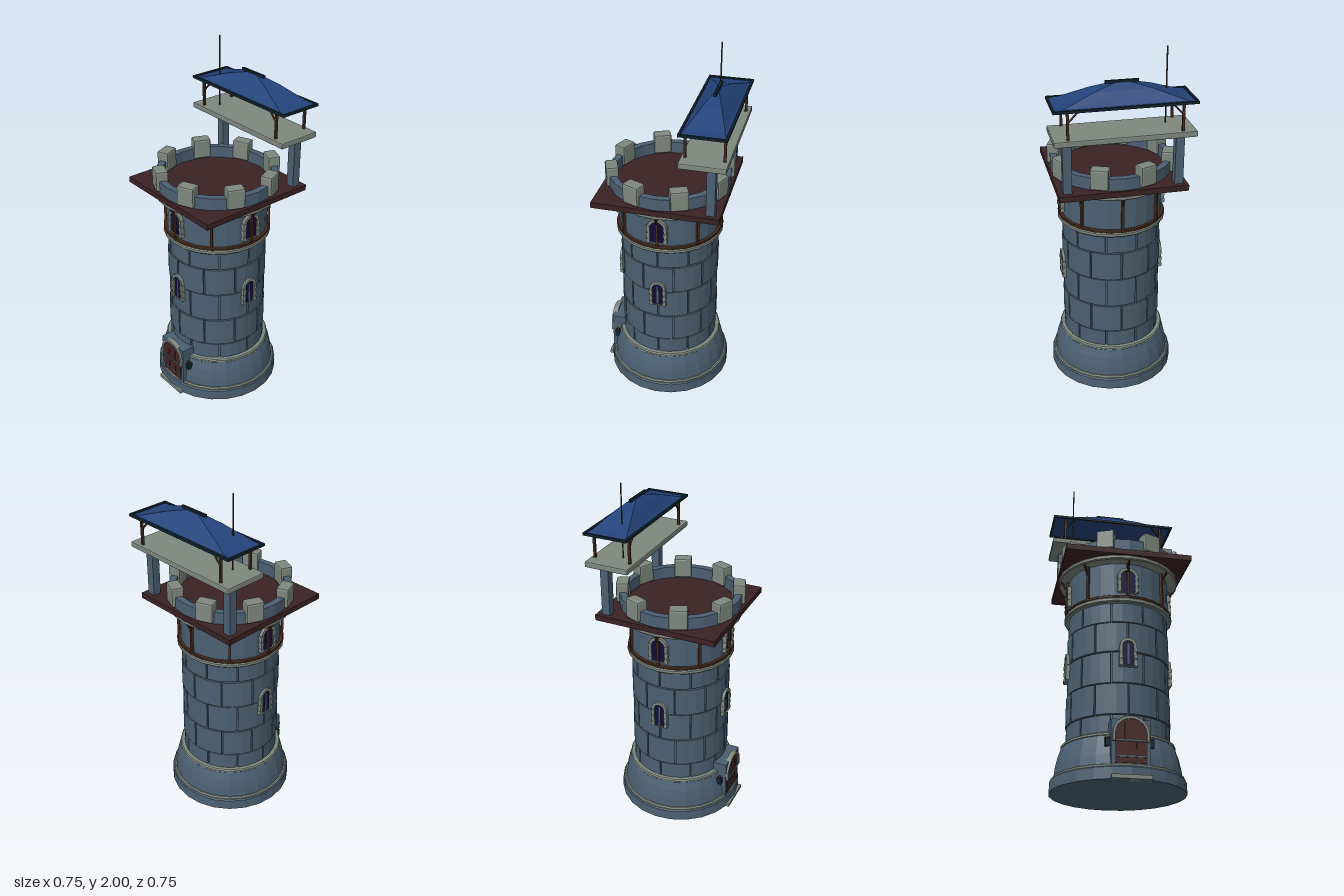
import * as THREE from 'three';
import { RoundedBoxGeometry } from 'three/addons/geometries/RoundedBoxGeometry.js';

const mat = (name, color, side = THREE.FrontSide) =>
  new THREE.MeshStandardMaterial({ name, color, flatShading: true, side });

export function createModel() {
  const stone = mat('blue stone', 0x4b6072);
  const trim = mat('pale stone', 0x7f887f);
  const deckRed = mat('dark red boards', 0x3a2224);
  const wood = mat('brown timber', 0x44291a);
  const glass = mat('dark window', 0x120c38);
  const roofBlue = mat('blue roof', 0x24437a, THREE.DoubleSide);
  const rimDark = mat('dark rim', 0x0f232d);
  const doorRed = mat('door boards', 0x452424);

  const model = new THREE.Group();
  const tower = new THREE.Group();
  tower.name = 'tower';
  tower.position.z = 0.005;
  model.add(tower);

  const add = (parent, name, geo, material, x = 0, y = 0, z = 0) => {
    const m = new THREE.Mesh(geo, material);
    m.name = name;
    m.position.set(x, y, z);
    parent.add(m);
    return m;
  };
  const group = (parent, name, angle = 0) => {
    const g = new THREE.Group();
    g.name = name;
    g.rotation.y = angle;
    parent.add(g);
    return g;
  };
  const box = (parent, name, material, w, h, d, x, y, z) =>
    add(parent, name, new THREE.BoxGeometry(w, h, d), material, x, y, z);
  // Solid or ring of revolution from [radius, y] pairs
  const turned = (name, material, pts) =>
    add(tower, name, new THREE.LatheGeometry(pts.map(p => new THREE.Vector2(...p)), 24), material);
  const band = (name, material, r, y0, y1, b = 0.006) =>
    turned(name, material, [[0, y0], [r - b, y0], [r, y0 + b], [r, y1 - b], [r - b, y1], [0, y1]]);
  const beam = (parent, name, material, a, b, r) => {
    const p = new THREE.Vector3(...a), q = new THREE.Vector3(...b);
    const m = add(parent, name, new THREE.CylinderGeometry(r, r, p.distanceTo(q), 6), material);
    m.position.copy(p).add(q).multiplyScalar(0.5);
    m.quaternion.setFromUnitVectors(new THREE.Vector3(0, 1, 0), q.sub(p).normalize());
    return m;
  };
  // Round-headed outline of half width w, from y0 to y1
  const arch = (Type, w, y0, y1) => {
    const s = new Type();
    s.moveTo(-w, y0).lineTo(w, y0).lineTo(w, y1 - w);
    s.absarc(0, y1 - w, w, 0, Math.PI, false);
    s.lineTo(-w, y0);
    return s;
  };
  const extrude = (shape, depth) =>
    new THREE.ExtrudeGeometry(shape, { depth, bevelEnabled: false, curveSegments: 8 });

  // Flared plinth
  turned('plinth', stone, [[0, 0], [0.362, 0], [0.36, 0.06], [0.34, 0.08], [0.334, 0.13],
    [0.322, 0.185], [0.305, 0.235], [0, 0.235]]);
  band('plinthLowerBand', trim, 0.354, 0.056, 0.08);
  band('plinthUpperBand', trim, 0.307, 0.232, 0.254);

  // Shaft: core with staggered curved blocks
  turned('shaftCore', stone, [[0.268, 0.24], [0.268, 1.0]]);
  const rows = [0.25, 0.355, 0.525, 0.7, 0.87, 0.985];
  const step = Math.PI / 5, gap = 0.016;
  for (let r = 0; r < 5; r++) {
    const h = rows[r + 1] - rows[r] - 0.006;
    const s = new THREE.Shape();
    const rad = 0.28 + (r % 2) * 0.003;
    for (let i = 0; i <= 3; i++) {
      const a = gap + (step - 2 * gap) * i / 3;
      s[i ? 'lineTo' : 'moveTo'](rad * Math.cos(a), rad * Math.sin(a));
    }
    for (let i = 3; i >= 0; i--) {
      const a = gap + (step - 2 * gap) * i / 3;
      s.lineTo(0.255 * Math.cos(a), 0.255 * Math.sin(a));
    }
    const geo = extrude(s, h).rotateX(-Math.PI / 2);
    for (let k = 0; k < 10; k++) {
      const block = add(tower, 'shaftBlock', geo, stone, 0, rows[r], 0);
      block.rotation.y = Math.PI / 2 + (k + (r % 2 ? 0 : 0.5)) * step;
    }
  }

  // Upper storey
  band('storeyBand', trim, 0.305, 0.98, 1.006);
  band('storeyTimberRing', wood, 0.303, 1.006, 1.02, 0.002);
  turned('upperStorey', stone, [[0.285, 1.01], [0.285, 1.23]]);
  band('corniceBand', trim, 0.345, 1.22, 1.246);
  for (let i = 0; i < 8; i++) {
    const g = group(tower, 'timberBracket', i * Math.PI / 4);
    box(g, 'bracketPost', wood, 0.014, 0.21, 0.014, 0, 1.122, 0.294);
    beam(g, 'bracketBrace', wood, [0, 1.165, 0.296], [0, 1.222, 0.33], 0.006);
  }

  // Arched windows on the front and both sides
  const makeWindow = (angle, w, y0, y1, z) => {
    const g = group(tower, 'archedWindow', angle);
    const frame = arch(THREE.Shape, w, y0, y1);
    frame.holes.push(arch(THREE.Path, w - 0.016, y0 + 0.004, y1 - 0.016));
    add(g, 'windowFrame', extrude(frame, 0.035), trim, 0, 0, z - 0.035);
    add(g, 'windowPane', extrude(arch(THREE.Shape, w - 0.014, y0 + 0.002, y1 - 0.014), 0.008),
      glass, 0, 0, z - 0.015);
    for (const s of [-1, 1]) for (let k = 0; k < 3; k++) {
      box(g, 'frameQuoin', trim, 0.02, 0.022, 0.03, s * (w - 0.007), y0 + 0.015 + k * 0.04, z - 0.013);
    }
    return g;
  };
  for (const a of [0, Math.PI / 2, -Math.PI / 2]) {
    makeWindow(a, 0.055, 1.04, 1.19, 0.298);
    const low = makeWindow(a, 0.046, 0.61, 0.772, 0.295);
    box(low, 'windowMullion', stone, 0.01, 0.12, 0.004, 0, 0.68, 0.289);
  }

  // Doorway
  const door = group(tower, 'doorway');
  const surround = arch(THREE.Shape, 0.1, 0.05, 0.31);
  const wall = new THREE.Shape();
  wall.moveTo(-0.1, 0.05).lineTo(0.1, 0.05).lineTo(0.1, 0.305).lineTo(-0.1, 0.305);
  add(door, 'doorSurround', extrude(wall, 0.085), stone, 0, 0, 0.255);
  const ring = arch(THREE.Shape, 0.094, 0.19, 0.322);
  ring.holes.push(arch(THREE.Path, 0.08, 0.1901, 0.308));
  add(door, 'doorArch', extrude(ring, 0.03), trim, 0, 0, 0.322);
  add(door, 'doorLeaf', extrude(arch(THREE.Shape, 0.081, 0.082, 0.309), 0.008), doorRed, 0, 0, 0.337);
  for (const x of [-0.03, 0.03]) box(door, 'doorGroove', wood, 0.005, 0.2, 0.004, x, 0.185, 0.345);
  for (const y of [0.115, 0.195]) box(door, 'doorStrap', stone, 0.15, 0.007, 0.004, 0, y, 0.346);
  for (const s of [-1, 1]) {
    box(door, 'doorLantern', rimDark, 0.022, 0.04, 0.03, s * 0.113, 0.192, 0.305);
    box(door, 'lanternBracket', wood, 0.03, 0.01, 0.012, s * 0.11, 0.215, 0.305);
  }
  box(door, 'doorStep', trim, 0.204, 0.02, 0.06, 0, 0.01, 0.337);

  // Square deck with a ring parapet and merlons
  box(tower, 'deck', deckRed, 0.696, 0.032, 0.696, 0, 1.261, 0);
  turned('parapet', stone, [[0.34, 1.27], [0.34, 1.345], [0.302, 1.345], [0.302, 1.27]]);
  const merlonGeo = new RoundedBoxGeometry(0.1, 0.115, 0.07, 1, 0.01);
  for (let i = 0; i < 8; i++) {
    const g = group(tower, 'merlonMount', (i + 0.5) * Math.PI / 4);
    add(g, 'merlon', merlonGeo, trim, 0, 1.34, 0.32);
  }

  // Lookout platform on two pillars
  const lookout = group(model, 'lookout');
  lookout.position.z = -0.25;
  for (const s of [-1, 1]) box(lookout, 'pillar', stone, 0.047, 0.295, 0.047, s * 0.299, 1.418, -0.04);
  add(lookout, 'platform', new RoundedBoxGeometry(0.745, 0.032, 0.25, 1, 0.006), trim, 0, 1.577, 0);
  for (const sx of [-1, 1]) for (const sz of [-1, 1]) {
    const x = sx * 0.298, z = sz * 0.102;
    box(lookout, 'roofPost', wood, 0.013, 0.155, 0.013, x, 1.665, z);
    beam(lookout, 'roofBrace', wood, [x, 1.68, z], [sx * 0.245, 1.738, z], 0.005);
  }
  beam(lookout, 'flagPole', wood, [-0.243, 1.59, 0.035], [-0.243, 2, 0.035], 0.004);

  // Concave hipped roof from rectangular rings [half x, half z, y]
  const rings = [[0.365, 0.118, 1.744], [0.31, 0.1, 1.756], [0.155, 0.05, 1.812], [0.04, 0.012, 1.843]];
  const pos = [], idx = [];
  for (const [x, z, y] of rings) pos.push(-x, y, z, x, y, z, x, y, -z, -x, y, -z);
  for (let r = 0; r < 3; r++) for (let i = 0; i < 4; i++) {
    const a = r * 4 + i, b = r * 4 + (i + 1) % 4;
    idx.push(a, b, b + 4, a, b + 4, a + 4);
  }
  idx.push(12, 13, 14, 12, 14, 15, 0, 2, 1, 0, 3, 2);
  const roof = new THREE.BufferGeometry();
  roof.setAttribute('position', new THREE.Float32BufferAttribute(pos, 3));
  roof.setIndex(idx);
  roof.computeVertexNormals();
  add(lookout, 'roof', roof, roofBlue);
  for (const s of [-1, 1]) {
    box(lookout, 'roofRimLong', rimDark, 0.746, 0.014, 0.012, 0, 1.746, s * 0.119);
    box(lookout, 'roofRimShort', rimDark, 0.012, 0.014, 0.25, s * 0.367, 1.746, 0);
  }
  box(lookout, 'ridgeCap', rimDark, 0.174, 0.014, 0.014, 0, 1.846, 0);

  return model;
}
